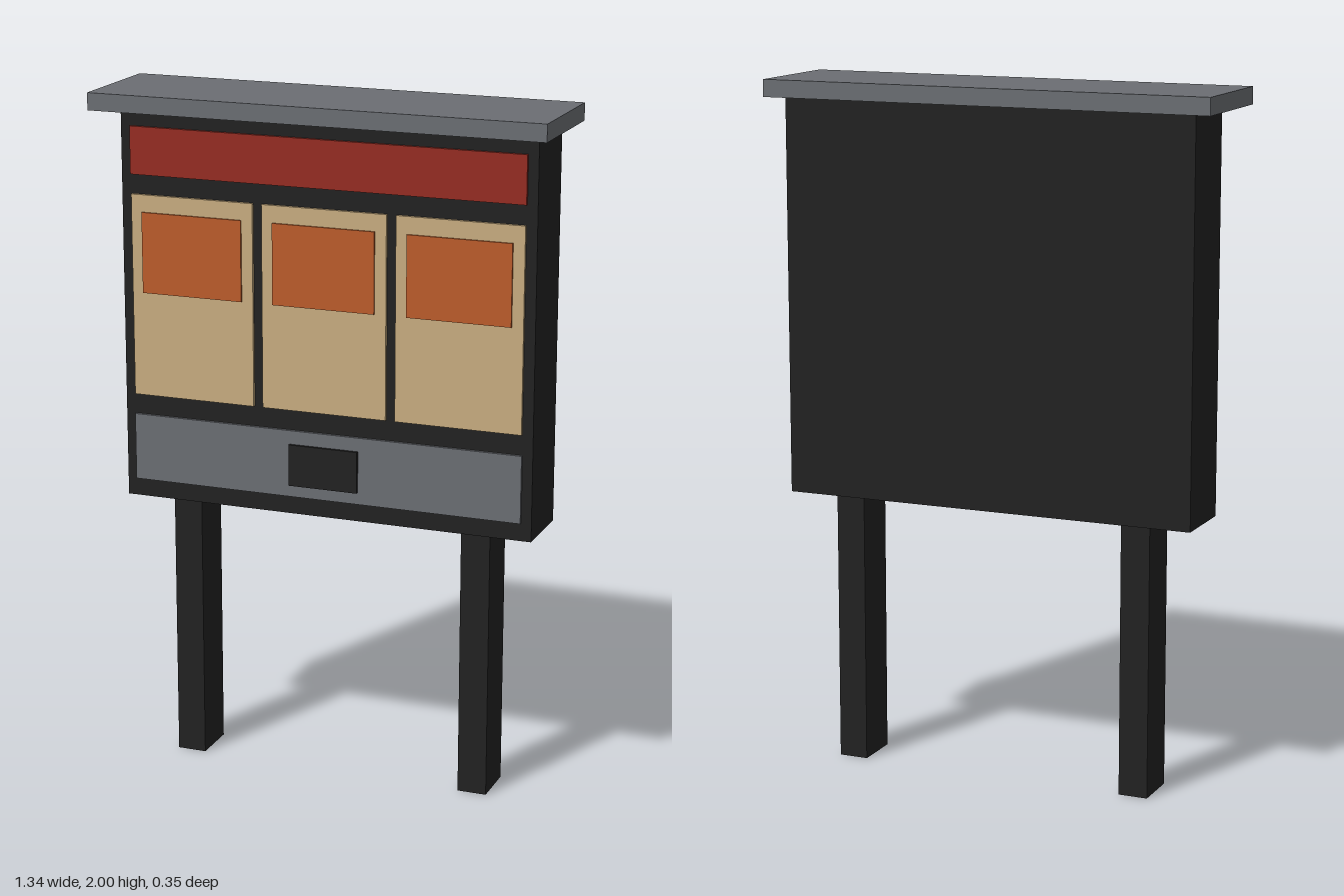
import * as THREE from 'three';

const paint = (name, color) => {
  const m = new THREE.MeshStandardMaterial({ color });
  m.name = name;
  return m;
};

export function createModel() {
  const black = paint('black', 0x222222);
  const grey = paint('grey', 0x6b6e73);
  const red = paint('red', 0x962d23);
  const tan = paint('tan', 0xc8ad80);
  const orange = paint('orange', 0xbd5d2b);

  const model = new THREE.Group();
  model.name = 'standingCabinet';

  // Box given by its centre x, width, and its y and z ranges
  const box = (name, material, x, width, [y0, y1], [z0, z1]) => {
    const mesh = new THREE.Mesh(new THREE.BoxGeometry(width, y1 - y0, z1 - z0), material);
    mesh.name = name;
    mesh.position.set(x, (y0 + y1) / 2, (z0 + z1) / 2);
    model.add(mesh);
  };

  // Cabinet and overhanging roof
  box('cabinet', black, 0, 1.235, [0.8, 1.95], [-0.14, 0.07]);
  box('roof', grey, 0, 1.34, [1.95, 2], [-0.175, 0.175]);

  // Legs
  for (const side of [-1, 1]) {
    box(side > 0 ? 'leftLeg' : 'rightLeg', black, side * 0.443, 0.086, [0, 0.8], [-0.105, 0.035]);
  }

  // Header band and lower tray panel with its slot
  box('headerBand', red, 0, 1.175, [1.757, 1.895], [0.07, 0.079]);
  box('trayPanel', grey, 0, 1.175, [0.853, 1.05], [0.07, 0.079]);
  box('traySlot', black, 0, 0.208, [0.888, 1.01], [0.079, 0.088]);

  // Three doors, each with a display plate
  for (const i of [-1, 0, 1]) {
    box('door', tan, i * 0.4, 0.372, [1.11, 1.7], [0.07, 0.079]);
    box('displayPlate', orange, i * 0.4, 0.305, [1.415, 1.65], [0.079, 0.085]);
  }

  return model;
}
